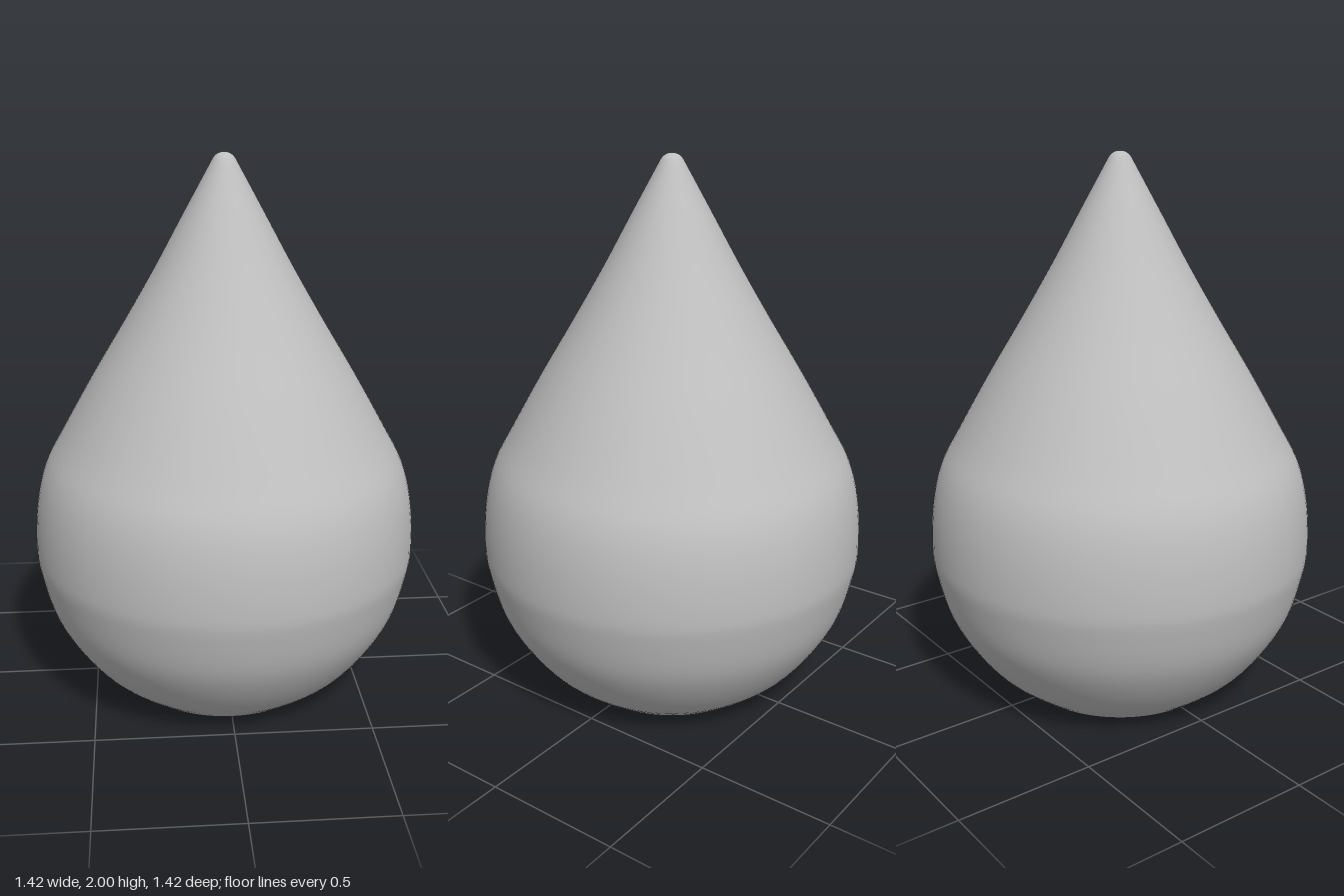
import * as THREE from 'three';

const SEGMENTS = 96;
const BASE_RADIUS = 0.385;
const POCKET = { radius: 0.345, height: 0.2 };
const SLOT = { width: 0.51, depth: 0.37, height: 0.4 };

export function createModel() {
  const group = new THREE.Group();
  const grey = new THREE.MeshStandardMaterial({ color: 0xbfbfbf });
  grey.name = 'grey';

  const add = (name, geometry, parent = group) => {
    const mesh = new THREE.Mesh(geometry, grey);
    mesh.name = name;
    parent.add(mesh);
    return mesh;
  };
  const v = (x, y) => new THREE.Vector2(x, y);
  const lathe = (points) => new THREE.LatheGeometry(points, SEGMENTS);

  // Teardrop shell: round belly, slightly hollow taper, small ball tip
  const side = new THREE.SplineCurve([
    v(BASE_RADIUS, 0), v(0.528, 0.12), v(0.648, 0.3), v(0.701, 0.48), v(0.711, 0.59),
    v(0.699, 0.74), v(0.665, 0.87), v(0.596, 1.0), v(0.483, 1.2), v(0.363, 1.4),
    v(0.247, 1.6), v(0.138, 1.8), v(0.04, 1.978),
  ]).getPoints(72);
  const tip = [v(0.032, 1.988), v(0.022, 1.995), v(0.011, 1.999), v(0, 2)];
  add('teardropBody', lathe([...side, ...tip]));

  // Flat rim and round pocket in the underside
  add('baseRim', lathe([v(POCKET.radius, 0), v(BASE_RADIUS, 0)]));
  add('pocketWall', lathe([v(POCKET.radius, POCKET.height), v(POCKET.radius, 0)]));

  // Pocket ceiling with a rectangular opening, facing down
  const w = SLOT.width / 2, d = SLOT.depth / 2;
  const ceiling = new THREE.Shape().absarc(0, 0, POCKET.radius, 0, Math.PI * 2);
  ceiling.holes.push(new THREE.Path([v(-w, -d), v(-w, d), v(w, d), v(w, -d)]));
  const ceilingMesh = add('pocketCeiling', new THREE.ShapeGeometry(ceiling, SEGMENTS / 2));
  ceilingMesh.rotation.x = Math.PI / 2;
  ceilingMesh.position.y = POCKET.height;

  // Rectangular slot above the pocket: four inward-facing walls and a roof
  const slot = new THREE.Group();
  slot.name = 'slot';
  slot.position.y = POCKET.height;
  group.add(slot);
  for (let i = 0; i < 4; i++) {
    const angle = (i * Math.PI) / 2;
    const [length, offset] = i % 2 ? [SLOT.depth, w] : [SLOT.width, d];
    const wall = add('slotWall', new THREE.PlaneGeometry(length, SLOT.height), slot);
    wall.rotation.y = angle;
    wall.position.set(-Math.sin(angle) * offset, SLOT.height / 2, -Math.cos(angle) * offset);
  }
  const roof = add('slotRoof', new THREE.PlaneGeometry(SLOT.width, SLOT.depth), slot);
  roof.rotation.x = Math.PI / 2;
  roof.position.y = SLOT.height;

  return group;
}
